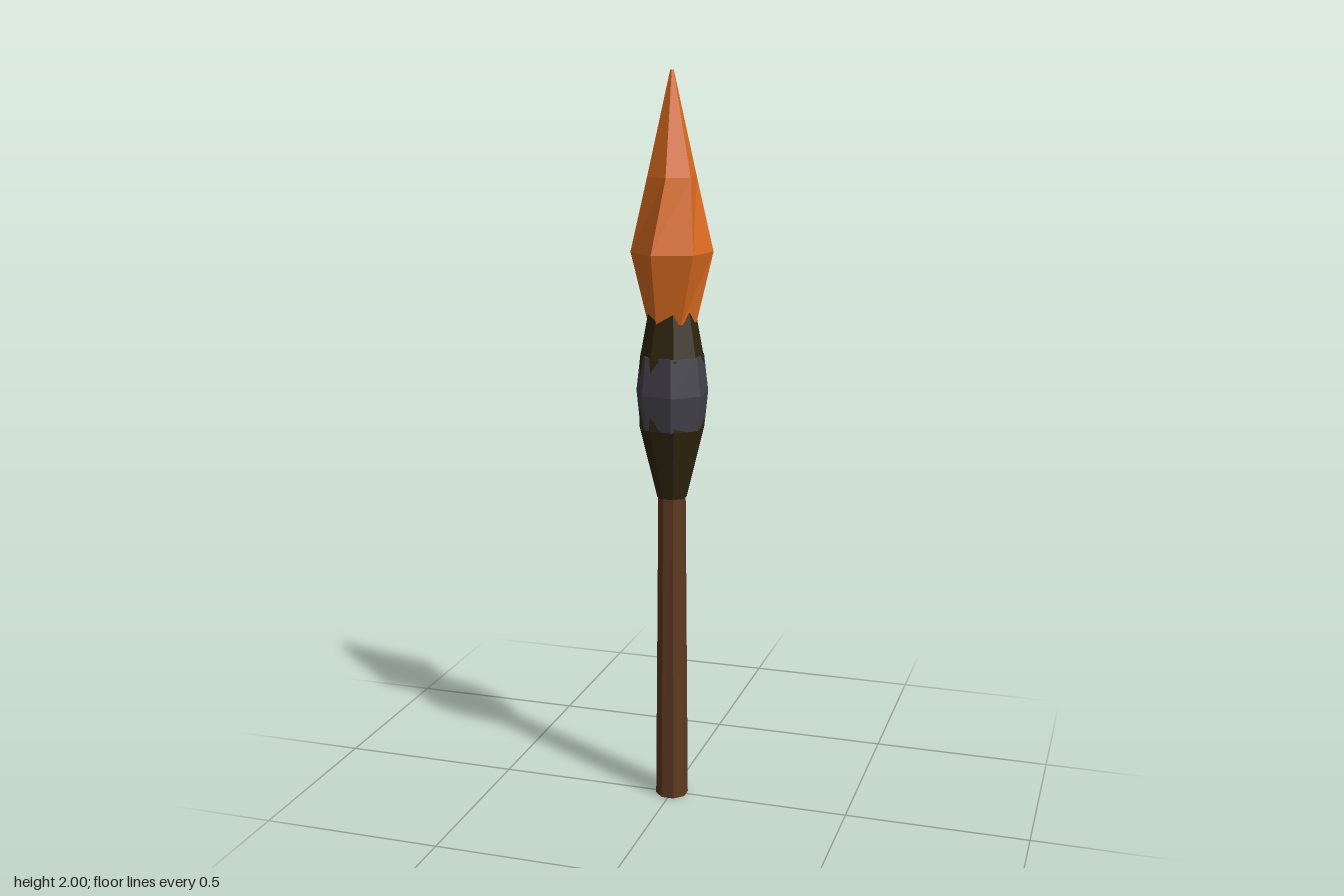
import * as THREE from 'three';

// Closed faceted column; each ring is [y, radius, angle in degrees from +z towards +x]
function facetedColumn(sides, rings) {
  const pos = [];
  const corner = ([y, r, deg], i) => {
    const a = THREE.MathUtils.degToRad(deg + ((i % sides) * 360) / sides);
    return [r * Math.sin(a), y, r * Math.cos(a)];
  };
  const tri = (a, b, c) => pos.push(...a, ...b, ...c);
  const first = rings[0];
  const last = rings[rings.length - 1];
  for (let i = 0; i < sides; i++) {
    for (let k = 0; k < rings.length - 1; k++) {
      const a = corner(rings[k], i), b = corner(rings[k], i + 1);
      const c = corner(rings[k + 1], i + 1), d = corner(rings[k + 1], i);
      tri(a, b, c);
      tri(a, c, d);
    }
    tri([0, first[0], 0], corner(first, i + 1), corner(first, i));
    tri([0, last[0], 0], corner(last, i), corner(last, i + 1));
  }
  const geometry = new THREE.BufferGeometry();
  geometry.setAttribute('position', new THREE.Float32BufferAttribute(pos, 3));
  geometry.computeVertexNormals(); // unshared corners give flat facets
  return geometry;
}

function material(name, color) {
  const m = new THREE.MeshStandardMaterial({ color });
  m.name = name;
  return m;
}

export function createModel() {
  const group = new THREE.Group();
  group.name = 'torch';
  const add = (name, mat, sides, rings) => {
    const mesh = new THREE.Mesh(facetedColumn(sides, rings), mat);
    mesh.name = name;
    group.add(mesh);
  };

  // Tapered wooden shaft
  add('handle', material('wood', 0x5e3a20), 8, [[0, 0.045, 22], [0.92, 0.037, 22]]);

  // Dark bulging head that holds the flame
  add('head', material('charred wood', 0x30250f), 8, [
    [0.87, 0.04, 20], [1.065, 0.087, 20], [1.255, 0.085, 20], [1.38, 0.062, 20],
  ]);

  // Angular band around the head
  add('band', material('iron', 0x43414a), 7, [
    [1.065, 0.089, 15], [1.16, 0.099, 15], [1.262, 0.087, 15],
  ]);

  // Twisted six-sided flame
  add('flame', material('flame orange', 0xdc6c20), 6, [
    [1.35, 0.066, -22], [1.535, 0.109, -13], [1.73, 0.067, 3], [2, 0.005, 10],
  ]);
  return group;
}
